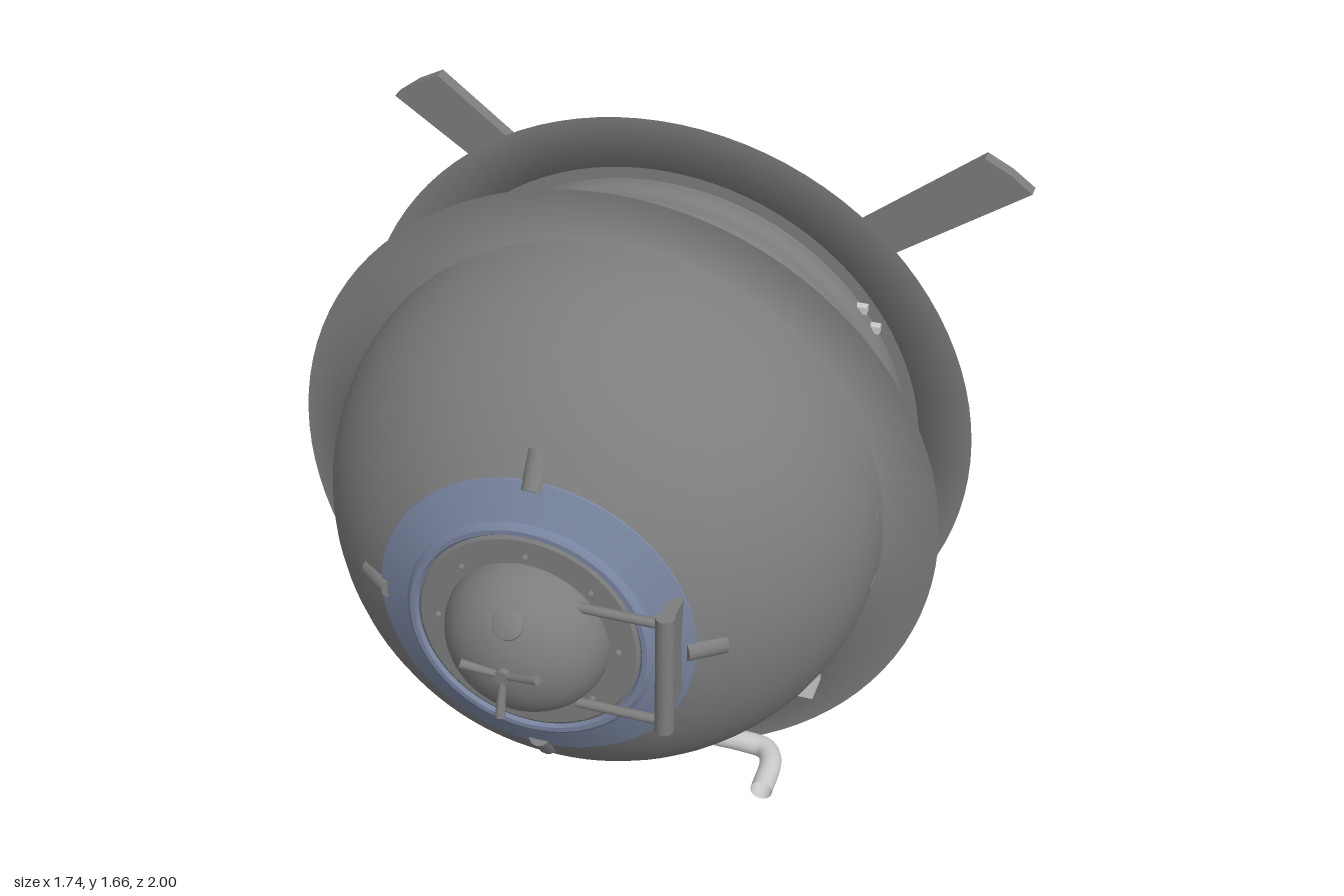
import * as THREE from 'three';
import { toCreasedNormals } from 'three/addons/utils/BufferGeometryUtils.js';

const CY = 0.832; // height of the main axis
const mat = (color, side = THREE.FrontSide) => new THREE.MeshStandardMaterial({ color, side });
const hull = mat(0x7d7d7d), sheet = mat(0x7d7d7d, THREE.DoubleSide);
const blue = mat(0x78849f), light = mat(0xcccccc, THREE.DoubleSide);

function add(parent, name, geo, material, x = 0, y = 0, z = 0) {
  const m = new THREE.Mesh(geo, material);
  m.name = name;
  m.position.set(x, y, z);
  parent.add(m);
  return m;
}

// Surface of revolution round the z axis, profile points are [radius, z]
function turned(points, segments = 96, crease = 0.5) {
  const g = new THREE.LatheGeometry(points.map(p => new THREE.Vector2(...p)), segments);
  return toCreasedNormals(g.rotateX(Math.PI / 2), crease);
}

// Round bar from a to b, with radius ra at a and rb at b
function rod(parent, name, a, b, ra, rb = ra) {
  const from = new THREE.Vector3(...a), to = new THREE.Vector3(...b);
  const dir = to.clone().sub(from);
  const m = add(parent, name, new THREE.CylinderGeometry(rb, ra, dir.length(), 16), hull);
  m.position.copy(from).lerp(to, 0.5);
  m.quaternion.setFromUnitVectors(new THREE.Vector3(0, 1, 0), dir.normalize());
}

const domeRadius = z => 0.696 * Math.sqrt(1 - (Math.max(0, z - 0.22) / 0.63) ** 2);

// Dome profile, with a small inward step at each listed depth
function domeProfile(steps) {
  const pts = [[0.696, 0.19]];
  let inset = 0, last = 0.22;
  for (const s of [...steps, 0.75]) {
    for (let i = 0; i <= 12; i++) {
      const z = last + (s - last) * i / 12;
      pts.push([domeRadius(z) - inset, z]);
    }
    inset += 0.009;
    last = s;
  }
  pts.push([0.25, 0.75]);
  return pts;
}

function createEnd(name, steps) {
  const end = new THREE.Group();
  end.name = name;
  add(end, 'dome', turned(domeProfile(steps)), hull);
  // Thin flange that blends into the dome's rim
  add(end, 'flange', turned([[0.832, 0.19], [0.696, 0.19], [0.696, 0.21]], 96, Math.PI), sheet);
  add(end, 'collar', turned([[0.395, 0.725], [0.39, 0.745], [0.305, 0.79], [0.3, 0.8],
    [0.292, 0.806], [0.28, 0.806], [0.27, 0.792]]), blue);
  add(end, 'hatchPlate', turned([[0.29, 0.75], [0.285, 0.79], [0.272, 0.798], [0.265, 0.803], [0, 0.803]]), hull);

  // Hatch bubble with a small port above its wheel
  const bubble = [];
  for (let i = 0; i <= 20; i++) {
    const a = i / 20 * Math.PI / 2;
    bubble.push([0.2 * Math.cos(a), 0.795 + 0.165 * Math.sin(a)]);
  }
  add(end, 'hatchBubble', turned(bubble, 64), hull);
  const port = add(end, 'porthole', turned([[0.042, -0.015], [0.038, 0.004], [0.028, 0.009], [0, 0.009]], 24),
    hull, 0, 0.12, 0.922);
  port.rotation.x = -0.65;

  // Three-armed hatch wheel
  rod(end, 'wheelHub', [0, 0, 0.94], [0, 0, 0.975], 0.02);
  for (const deg of [20, 160, 270]) {
    const c = Math.cos(deg * Math.PI / 180), s = Math.sin(deg * Math.PI / 180);
    rod(end, 'wheelArm', [0, 0, 0.963], [c * 0.1, s * 0.1, 0.99], 0.008, 0.012);
  }

  // Bolts on the hatch plate
  for (let i = 0; i < 8; i++) {
    const a = i * Math.PI / 4, x = Math.cos(a) * 0.222, y = Math.sin(a) * 0.222;
    rod(end, 'bolt', [x, y, 0.8], [x, y, 0.818], 0.008);
  }

  // Four rounded clamps lying along the slope from collar to dome
  for (let i = 0; i < 4; i++) {
    const holder = new THREE.Group();
    holder.name = 'clamp';
    holder.rotation.z = i * Math.PI / 2;
    rod(holder, 'clampBar', [0, 0.365, 0.748], [0, 0.438, 0.685], 0.026, 0.031);
    end.add(holder);
  }

  // Hinge with its two arms
  rod(end, 'hingeBar', [0.342, -0.18, 0.83], [0.342, 0.155, 0.83], 0.023);
  add(end, 'hingeMount', new THREE.BoxGeometry(0.035, 0.27, 0.1), hull, 0.342, 0.015, 0.775);
  for (const y of [-0.155, 0.13]) rod(end, 'hingeArm', [0.13, y, 0.828], [0.342, y, 0.828], 0.012);
  return end;
}

export function createModel() {
  const model = new THREE.Group();
  model.name = 'submersible';
  const body = new THREE.Group();
  body.name = 'body';
  body.position.y = CY;
  model.add(body);

  body.add(createEnd('frontEnd', []));
  const back = createEnd('backEnd', [0.585, 0.69]);
  back.rotation.y = Math.PI;
  body.add(back);

  // Middle band with faint ribs, closed up to the flanges at both ends
  const band = [[0.696, -0.19]];
  for (let i = 0; i <= 60; i++) {
    const z = -0.189 + 0.378 * i / 60;
    band.push([0.667 + 0.002 * Math.cos(z * 2 * Math.PI / 0.076), z]);
  }
  band.push([0.696, 0.19]);
  add(body, 'middleBand', turned(band), hull);

  // Hoses hugging the left side of the band below the hatch
  for (const z of [-0.14, -0.047, 0.047, 0.14]) {
    const hose = add(body, 'sideHose', new THREE.TorusGeometry(0.662, 0.026, 10, 24, 0.42), hull, 0, 0, z);
    hose.rotation.z = -0.58;
  }

  // Round side hatch with rails above and below
  add(body, 'sideHatchRing', new THREE.TorusGeometry(0.118, 0.008, 10, 48).rotateY(Math.PI / 2), hull, 0.672, 0, -0.01);
  rod(body, 'sideHatchDoor', [0.62, 0, -0.01], [0.672, 0, -0.01], 0.115);
  for (const y of [-0.105, 0.1]) {
    add(body, 'sideRail', new THREE.BoxGeometry(0.03, 0.006, 0.38), hull, 0.656, y, 0);
    for (const z of [-0.24, 0.23]) add(body, 'railEnd', new THREE.BoxGeometry(0.02, 0.006, 0.06), hull, 0.68, y, z);
  }

  // Small clips on the upper side of the band
  for (const z of [0.015, -0.17])
    for (const y of [0.36, 0.41])
      add(body, 'clip', new THREE.BoxGeometry(0.03, 0.02, 0.022), light, Math.sqrt(0.67 ** 2 - y * y), y, z);

  // Fins on the upper rear
  const fin = new THREE.Shape([[0.41, 0.408], [0.74, 0.668], [0.808, 0.633], [0.868, 0.588], [0.49, 0.328]]
    .map(p => new THREE.Vector2(...p)));
  for (const side of [1, -1]) {
    const g = new THREE.ExtrudeGeometry(fin, { depth: 0.038, bevelEnabled: false });
    const m = add(body, side > 0 ? 'leftFin' : 'rightFin', g, hull, 0, 0, -0.588);
    if (side < 0) {
      m.rotation.y = Math.PI;
      m.position.z += 0.038;
    }
  }

  // Equipment box, low slab and bent outlet pipe on the lower left
  add(model, 'equipmentBox', new THREE.BoxGeometry(0.16, 0.14, 0.22), light, 0.48, 0.41, 0.16);
  add(model, 'lowerSlab', new THREE.BoxGeometry(0.08, 0.016, 0.23), light, 0.378, 0.309, -0.015);
  const path = new THREE.CatmullRomCurve3([[0.36, 0.312, 0.445], [0.43, 0.314, 0.448], [0.49, 0.316, 0.46],
    [0.515, 0.318, 0.5], [0.522, 0.318, 0.61]].map(p => new THREE.Vector3(...p)));
  add(model, 'outletPipe', new THREE.TubeGeometry(path, 32, 0.027, 20), light);
  return model;
}
